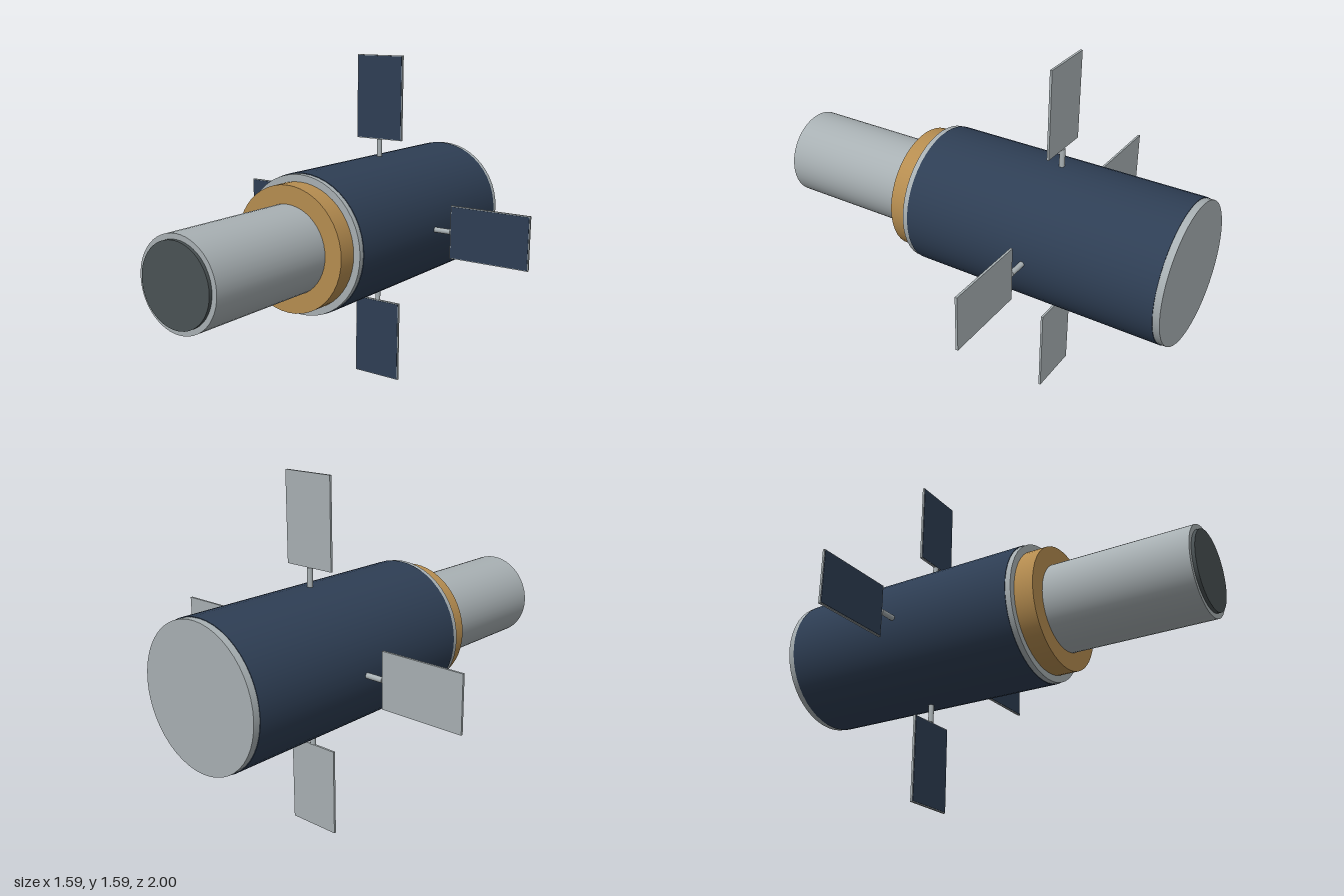
import * as THREE from 'three';

const AXIS_Y = 0.795;   // height of the main axis
const PANEL_Z = -0.38;  // plane of the four panels

const paint = (name, color) => {
  const m = new THREE.MeshStandardMaterial({ color });
  m.name = name;
  return m;
};

export function createModel() {
  const grey = paint('light grey metal', 0xa8b0b3);
  const navy = paint('navy blue', 0x2e3e54);
  const gold = paint('gold foil', 0xb68d50);
  const dark = paint('dark glass', 0x4a5254);

  const model = new THREE.Group();
  model.name = 'satellite';

  const add = (parent, name, geometry, material) => {
    const mesh = new THREE.Mesh(geometry, material);
    mesh.name = name;
    parent.add(mesh);
    return mesh;
  };

  // Cylinder along z, from z0 (back) to z1 (front)
  const drum = (name, radius, z0, z1, material, open = false) => {
    const g = new THREE.CylinderGeometry(radius, radius, z1 - z0, 48, 1, open);
    g.rotateX(Math.PI / 2).translate(0, AXIS_Y, (z0 + z1) / 2);
    return add(model, name, g, material);
  };

  // Body with its wrapped shell, neck ring, telescope tube and lens
  drum('bodyCore', 0.315, -1, 0.235, grey);
  drum('bodyShell', 0.318, -0.97, 0.21, navy);
  drum('neckRing', 0.283, 0.235, 0.325, gold);
  drum('telescopeTube', 0.2, 0.325, 0.985, grey);
  drum('lens', 0.177, 0.985, 1, dark);

  // Four panels around the body, each on a short strut
  const W = 0.395, H = 0.25, T = 0.01;
  for (let i = 0; i < 4; i++) {
    const wing = new THREE.Group();
    wing.name = 'panel' + (i + 1);
    wing.position.set(0, AXIS_Y, PANEL_Z);
    wing.rotation.z = i * Math.PI / 2;

    const strut = new THREE.CylinderGeometry(0.0125, 0.0125, 0.1, 16);
    strut.rotateZ(Math.PI / 2).translate(0.35, 0, 0);
    add(wing, 'strut', strut, grey);

    add(wing, 'panelFrame', new THREE.BoxGeometry(W, H, T).translate(0.4 + W / 2, 0, 0), grey);
    add(wing, 'solarCells',
      new THREE.BoxGeometry(W - 0.008, H - 0.008, 0.002).translate(0.4 + W / 2, 0, T / 2 + 0.001), navy);
    model.add(wing);
  }
  return model;
}
